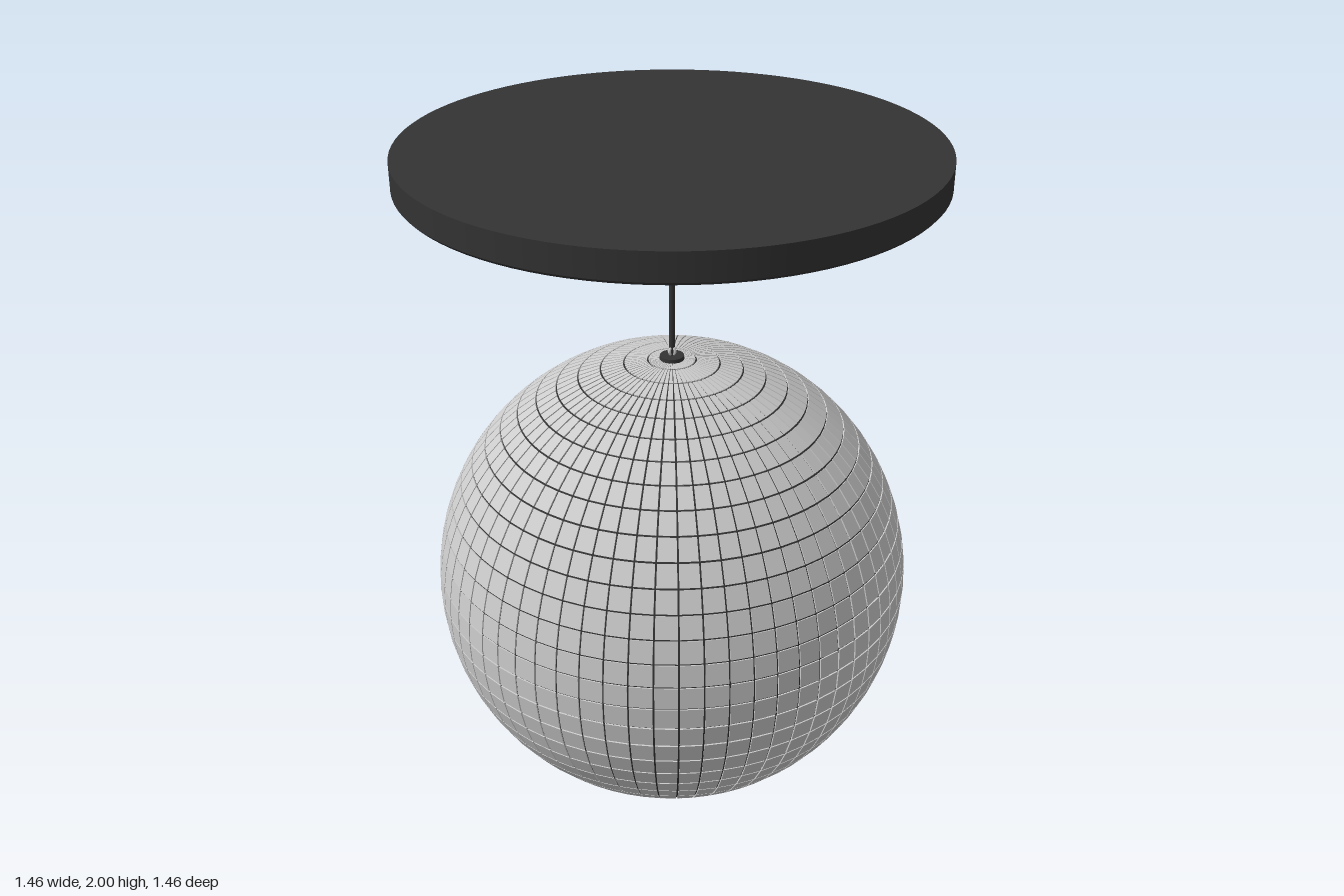
import * as THREE from 'three';

const grey = new THREE.MeshStandardMaterial({ color: 0xcccccc });
const dark = new THREE.MeshStandardMaterial({ color: 0x333333 });
const R = 0.695, ROWS = 32, COLS = 64;

function add(parent, name, geometry, material, x = 0, y = 0, z = 0) {
  const mesh = new THREE.Mesh(geometry, material);
  mesh.name = name;
  mesh.position.set(x, y, z);
  parent.add(mesh);
  return mesh;
}

// Small flat tiles with side walls, laid in rows and columns over a sphere
function tileGeometry(gap, depth) {
  const pos = [];
  const at = (r, polar, turn) => new THREE.Vector3().setFromSphericalCoords(r, polar, turn);
  const quad = (a, b, c, d) => [a, b, c, a, c, d].forEach(v => pos.push(v.x, v.y, v.z));
  const gapPolar = gap / 2 / R;
  for (let i = 0; i < ROWS; i++) {
    const p0 = Math.PI * i / ROWS + gapPolar, p1 = Math.PI * (i + 1) / ROWS - gapPolar;
    // keep the upright gaps evenly wide, but never more than a fifth of a tile
    const step = 2 * Math.PI / COLS;
    const gapTurn = Math.min(gapPolar / Math.sin((p0 + p1) / 2), step * 0.1);
    for (let j = 0; j < COLS; j++) {
      const t0 = step * j + gapTurn, t1 = step * (j + 1) - gapTurn;
      const ring = r => [at(r, p0, t0), at(r, p1, t0), at(r, p1, t1), at(r, p0, t1)];
      const outer = ring(R), inner = ring(R - depth);
      quad(...outer);
      for (let k = 0; k < 4; k++) {
        const n = (k + 1) % 4;
        quad(outer[n], outer[k], inner[k], inner[n]);
      }
    }
  }
  const g = new THREE.BufferGeometry();
  g.setAttribute('position', new THREE.Float32BufferAttribute(pos, 3));
  g.computeVertexNormals();
  return g;
}

export function createModel() {
  const model = new THREE.Group();
  model.name = 'mirrorBallLamp';

  // Mirror ball: dark core showing between the tiles
  const ball = new THREE.Group();
  ball.name = 'mirrorBall';
  ball.position.y = R;
  model.add(ball);
  add(ball, 'core', new THREE.SphereGeometry(R - 0.004, COLS, ROWS), dark);
  add(ball, 'mirrorTiles', tileGeometry(0.005, 0.006), grey);

  // Round ceiling plate
  add(model, 'ceilingPlate', new THREE.CylinderGeometry(0.732, 0.732, 0.075, 96), dark, 0, 1.9625, 0);
  add(model, 'plateLowerEdge', new THREE.CylinderGeometry(0.732, 0.725, 0.008, 96), dark, 0, 1.921, 0);

  // Two rings of spotlights under the plate, half a step apart
  const rings = [
    { name: 'outerSpot', radius: 0.61, size: 0.052, shift: 0 },
    { name: 'innerSpot', radius: 0.42, size: 0.036, shift: 0.5 },
  ];
  for (const { name, radius, size, shift } of rings) {
    const lamp = new THREE.CylinderGeometry(size, size, 0.012, 32);
    for (let i = 0; i < 16; i++) {
      const a = (i + shift) * Math.PI / 8;
      add(model, name, lamp, grey, radius * Math.cos(a), 1.917, radius * Math.sin(a));
    }
  }

  // Hanging rod with a collar and an eyelet at each end
  add(model, 'rod', new THREE.CylinderGeometry(0.008, 0.008, 0.5, 16), dark, 0, 1.65, 0);
  add(model, 'ballCollar', new THREE.CylinderGeometry(0.034, 0.036, 0.018, 32), dark, 0, 1.39, 0);
  add(model, 'plateCollar', new THREE.CylinderGeometry(0.036, 0.026, 0.012, 32), dark, 0, 1.912, 0);
  for (const y of [1.412, 1.894]) {
    add(model, 'eyelet', new THREE.TorusGeometry(0.011, 0.004, 10, 24), grey, 0, y, 0);
    const cross = add(model, 'eyelet', new THREE.TorusGeometry(0.011, 0.004, 10, 24), grey, 0, y, 0);
    cross.rotation.y = Math.PI / 2;
  }
  return model;
}
